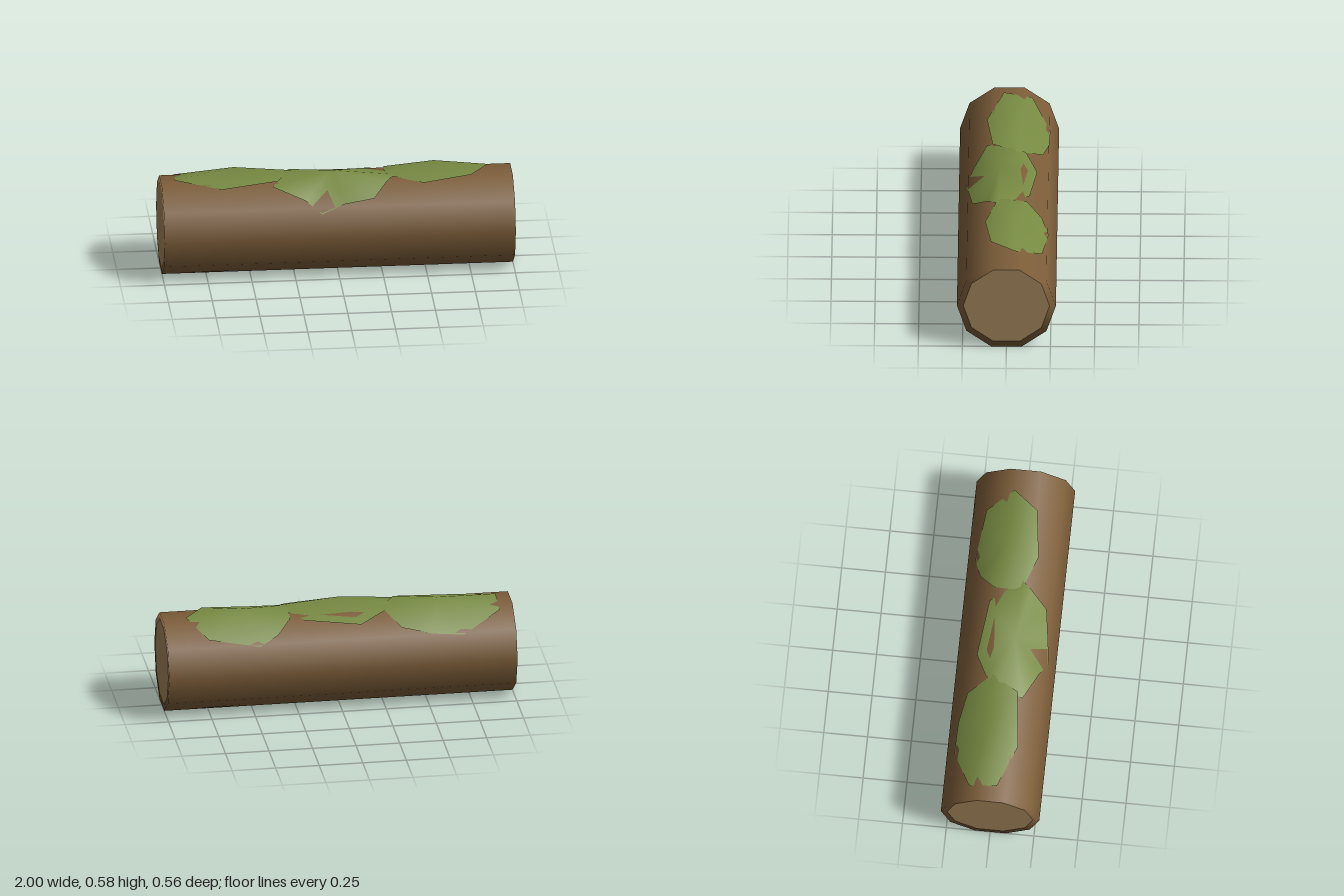
import * as THREE from 'three';

const R = 0.281, INNER = 0.245, SIDES = 10;
const CY = R * Math.cos(Math.PI / SIDES);

const mat = (name, color, side = THREE.FrontSide) => {
  const m = new THREE.MeshStandardMaterial({ color, side });
  m.name = name;
  return m;
};

// Height of the ten-sided log's upper surface at depth z
function logTop(z) {
  const a = Math.abs(z), top = 2 * CY;
  if (a < 0.087) return top;
  if (a < 0.227) return top - (a - 0.087) * 0.727;
  return top - 0.102 - (a - 0.227) * 3.08;
}

// Low dome of moss: an apex fanned out to a rim that hugs the log
function mossGeometry([ax, az], rim) {
  const pos = [ax, 0.585, az];
  const index = [];
  rim.forEach(([x, z], i) => {
    pos.push(x, logTop(z) + 0.015, z);
    index.push(0, i + 1, ((i + 1) % rim.length) + 1);
  });
  const g = new THREE.BufferGeometry();
  g.setAttribute('position', new THREE.Float32BufferAttribute(pos, 3));
  g.setIndex(index);
  g.computeVertexNormals();
  return g;
}

export function createModel() {
  const group = new THREE.Group();
  const bark = mat('bark brown', 0x7c5d39);
  const wood = mat('cut wood tan', 0xa08259);
  const moss = mat('moss green', 0x778a42, THREE.DoubleSide);
  const add = (name, geometry, material) => {
    const mesh = new THREE.Mesh(geometry, material);
    mesh.name = name;
    group.add(mesh);
    return mesh;
  };

  // Bark: side wall and the flat rims, shaded as one smooth surface
  const profile = [[INNER, -1], [R, -1], [R, 1], [INNER, 1]].map(p => new THREE.Vector2(...p));
  const barkGeo = new THREE.LatheGeometry(profile, SIDES);
  const n = barkGeo.attributes.normal;
  for (let i = 0; i <= SIDES; i++) {
    for (const [to, from] of [[0, 1], [3, 2]]) {
      const k = i * 4 + from;
      n.setXYZ(i * 4 + to, n.getX(k), n.getY(k), n.getZ(k));
    }
  }
  barkGeo.rotateZ(-Math.PI / 2);
  add('bark', barkGeo, bark).position.y = CY;

  // Sawn ends
  for (const s of [1, -1]) {
    const end = add(s > 0 ? 'leftCutEnd' : 'rightCutEnd', new THREE.CircleGeometry(INNER, SIDES), wood);
    end.rotation.y = s * Math.PI / 2;
    end.position.set(s, CY, 0);
  }

  // Moss patches: apex, then rim points as [x, z]
  add('rightMoss', mossGeometry([-0.58, -0.05], [
    [-0.92, -0.13], [-0.92, 0.03], [-0.66, 0.125], [-0.34, 0.09],
    [-0.25, -0.06], [-0.35, -0.195], [-0.52, -0.23], [-0.7, -0.235],
  ]), moss);
  add('middleMoss', mossGeometry([-0.03, 0.043], [
    [-0.31, -0.02], [-0.37, 0.12], [-0.19, 0.2], [-0.1, 0.243], [0.03, 0.225],
    [0.2, 0.2], [0.28, 0.11], [0.33, 0.05], [0.2, -0.125], [-0.12, -0.165], [-0.26, -0.1],
  ]), moss);
  add('leftMoss', mossGeometry([0.56, -0.05], [
    [0.28, -0.11], [0.27, 0.05], [0.49, 0.125], [0.76, 0.09],
    [0.87, -0.05], [0.76, -0.2], [0.47, -0.235], [0.36, -0.195],
  ]), moss);

  return group;
}
